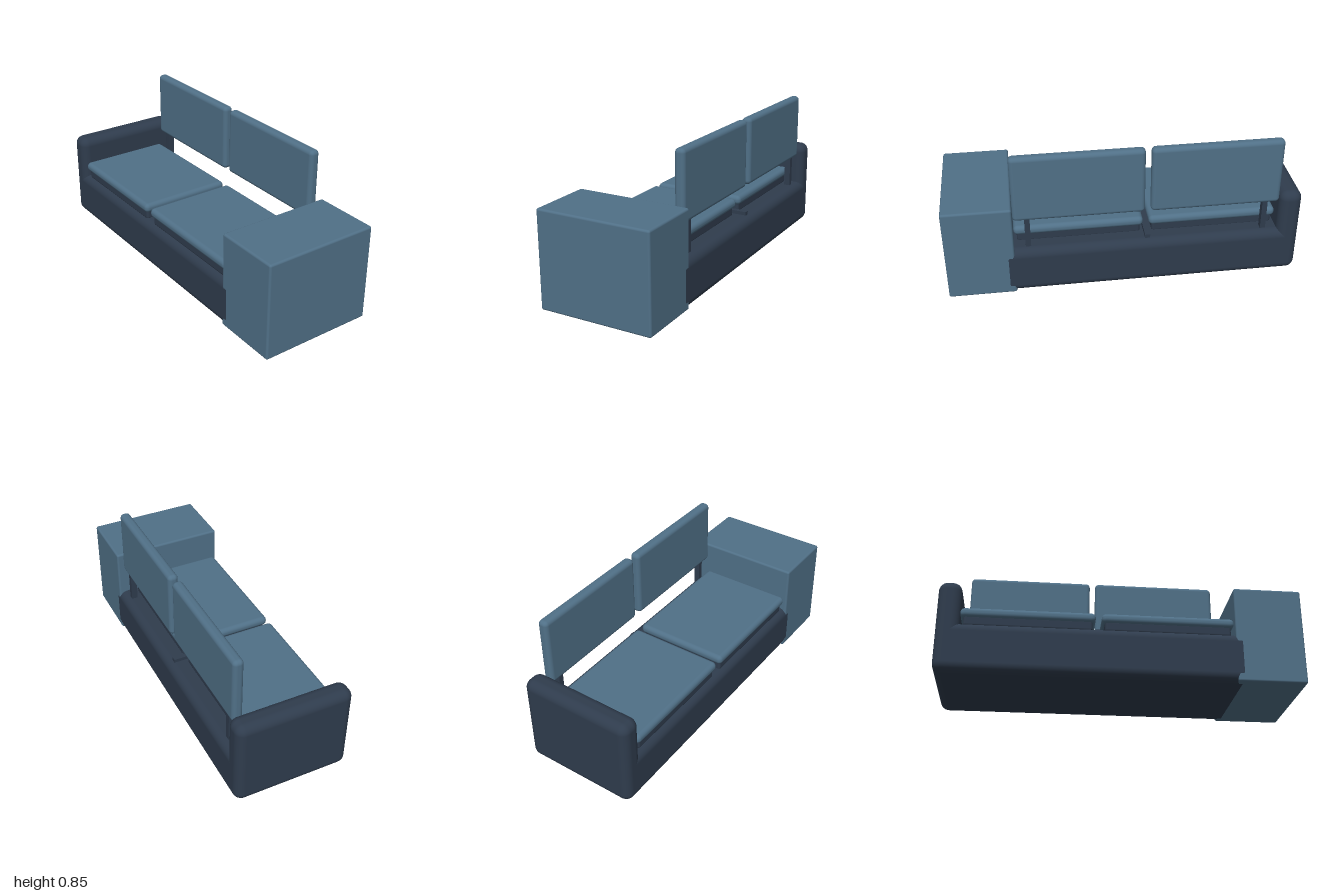
import * as THREE from 'three';
import { RoundedBoxGeometry } from 'three/addons/geometries/RoundedBoxGeometry.js';

export function createModel() {
  const sofa = new THREE.Group();
  sofa.name = 'sofa';
  const blue = new THREE.MeshStandardMaterial({ color: 0x507087 });
  blue.name = 'blue fabric';
  const navy = new THREE.MeshStandardMaterial({ color: 0x2f3c4d });
  navy.name = 'navy fabric';

  // Box between two corners, with rounded edges when r > 0
  function block(name, material, [x0, x1], [y0, y1], [z0, z1], r = 0) {
    const size = [x1 - x0, y1 - y0, z1 - z0];
    const geometry = r > 0
      ? new RoundedBoxGeometry(...size, 5, r)
      : new THREE.BoxGeometry(...size);
    const mesh = new THREE.Mesh(geometry, material);
    mesh.name = name;
    mesh.position.set((x0 + x1) / 2, (y0 + y1) / 2, (z0 + z1) / 2);
    sofa.add(mesh);
  }

  // Base, armrest and the square side cabinet
  block('base', navy, [-1, 0.7], [0, 0.28], [-0.3335, 0.3335], 0.05);
  block('armrest', navy, [-1, -0.873], [0, 0.525], [-0.3335, 0.3335], 0.05);
  block('sideCabinet', blue, [0.62, 1], [0, 0.555], [-0.333, 0.333], 0.012);

  // Two seats, each with a plinth, cushion and backrest
  for (const [x0, x1] of [[-0.875, -0.145], [-0.112, 0.618]]) {
    block('seatPlinth', navy, [x0 + 0.017, x1 - 0.017], [0.27, 0.335], [-0.222, 0.303], 0.015);
    block('seatCushion', blue, [x0, x1], [0.32, 0.375], [-0.238, 0.318], 0.025);
    block('backrest', blue, [x0, x1], [0.455, 0.85], [-0.3, -0.24], 0.024);
  }

  // Posts holding the backrests
  for (const x of [-0.795, 0.54]) {
    block('backrestPost', navy, [x - 0.015, x + 0.015], [0.26, 0.5], [-0.288, -0.252]);
  }

  // Rail in the gap between the seats
  block('centreRail', navy, [-0.143, -0.114], [0.26, 0.3], [-0.295, 0.26]);

  return sofa;
}
